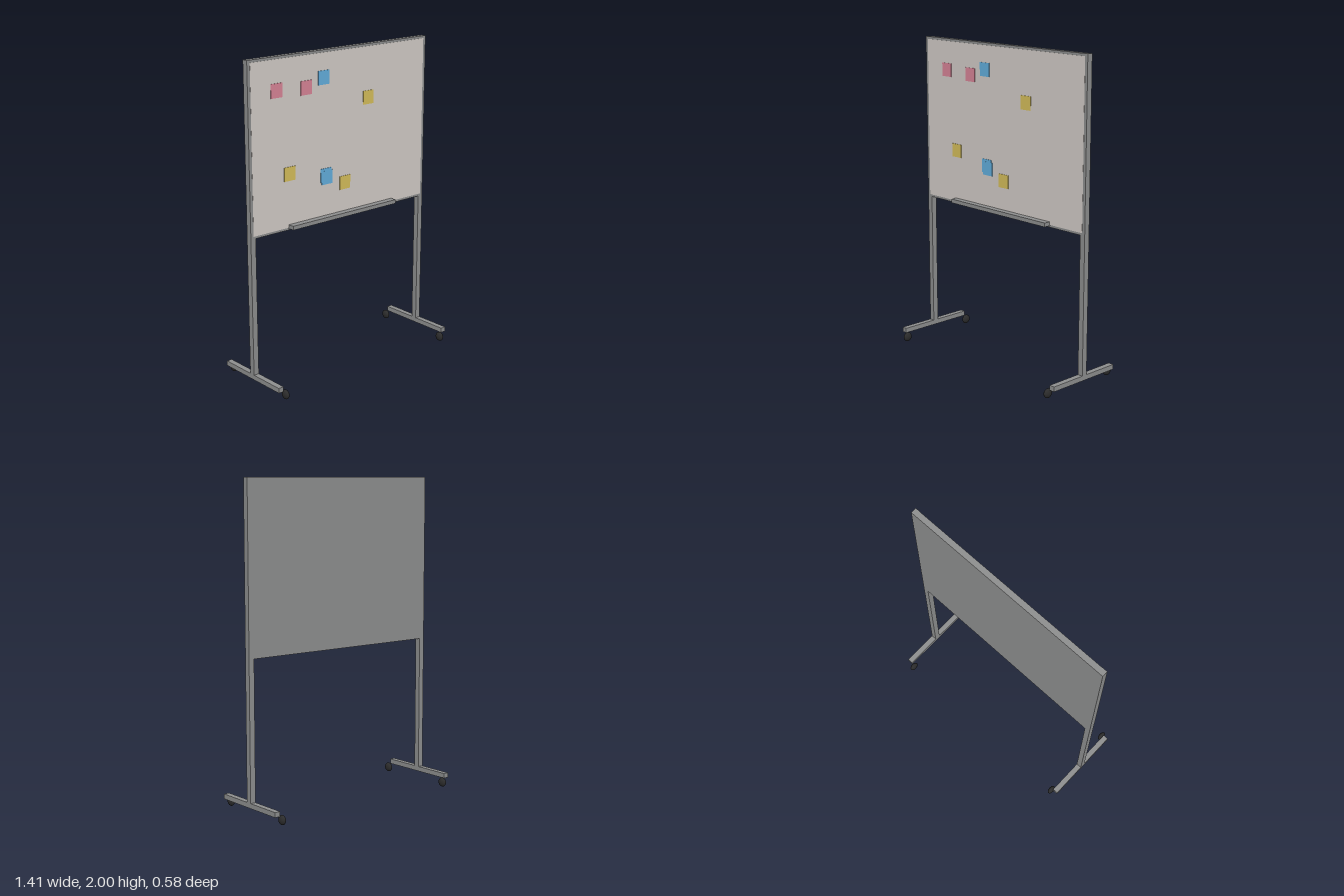
import * as THREE from 'three';

export function createModel() {
  const model = new THREE.Group();
  model.name = 'mobileWhiteboard';

  const mat = (name, color) => {
    const m = new THREE.MeshStandardMaterial({ color });
    m.name = name;
    return m;
  };
  const metal = mat('grey metal', 0x8f9090);
  const white = mat('board white', 0xd4cec9);
  const rubber = mat('black rubber', 0x2c2c2c);
  const noteColors = {
    pink: mat('note pink', 0xdb8699),
    blue: mat('note blue', 0x64b0e0),
    yellow: mat('note yellow', 0xd8c05c),
  };

  // Box given by its minimum and maximum corners
  const box = (name, material, [x0, y0, z0], [x1, y1, z1], parent = model) => {
    const mesh = new THREE.Mesh(new THREE.BoxGeometry(x1 - x0, y1 - y0, z1 - z0), material);
    mesh.position.set((x0 + x1) / 2, (y0 + y1) / 2, (z0 + z1) / 2);
    mesh.name = name;
    parent.add(mesh);
    return mesh;
  };

  const D = 0.0185; // half depth of the frame

  // Board: grey backing with a writing surface slightly proud of it
  box('boardBacking', metal, [-0.67, 0.947, -D], [0.67, 2, D - 0.001]);
  box('writingSurface', white, [-0.685, 0.962, D - 0.003], [0.685, 1.985, D + 0.001]);

  // Pen tray
  box('penTray', metal, [-0.422, 0.956, D - 0.002], [0.422, 0.981, 0.062]);

  // Uprights, feet and castors on both sides
  const wheelGeometry = new THREE.SphereGeometry(1, 24, 16);
  wheelGeometry.rotateZ(Math.PI / 2);
  for (const side of [-1, 1]) {
    const stand = new THREE.Group();
    stand.name = side > 0 ? 'leftStand' : 'rightStand';
    const inner = side * 0.669, outer = side * 0.705;
    const x0 = Math.min(inner, outer), x1 = Math.max(inner, outer);
    box('upright', metal, [x0, 0.07, -D], [x1, 2, D], stand);
    box('foot', metal, [x0, 0.053, -0.259], [x1, 0.084, 0.259], stand);
    for (const end of [-1, 1]) {
      const wheel = new THREE.Mesh(wheelGeometry, rubber);
      wheel.name = end > 0 ? 'frontCastor' : 'backCastor';
      wheel.scale.set(0.017, 0.03, 0.03);
      wheel.position.set(side * 0.654, 0.03, end * 0.259);
      stand.add(wheel);
    }
    model.add(stand);
  }

  // Sticky notes: colour, x, y, front offset
  const notes = [
    ['pink', -0.5, 1.803, 0], ['pink', -0.278, 1.792, 0],
    ['blue', -0.145, 1.836, 0], ['yellow', 0.214, 1.67, 0],
    ['yellow', -0.41, 1.294, 0], ['blue', -0.13, 1.236, 0],
    ['blue', -0.12, 1.22, 0.0005], ['yellow', 0.024, 1.163, 0],
  ];
  const h = 0.0425;
  for (const [color, x, y, dz] of notes) {
    box(`${color}Note`, noteColors[color], [x - h, y - h, D], [x + h, y + h, D + 0.004 + dz]);
  }

  return model;
}
